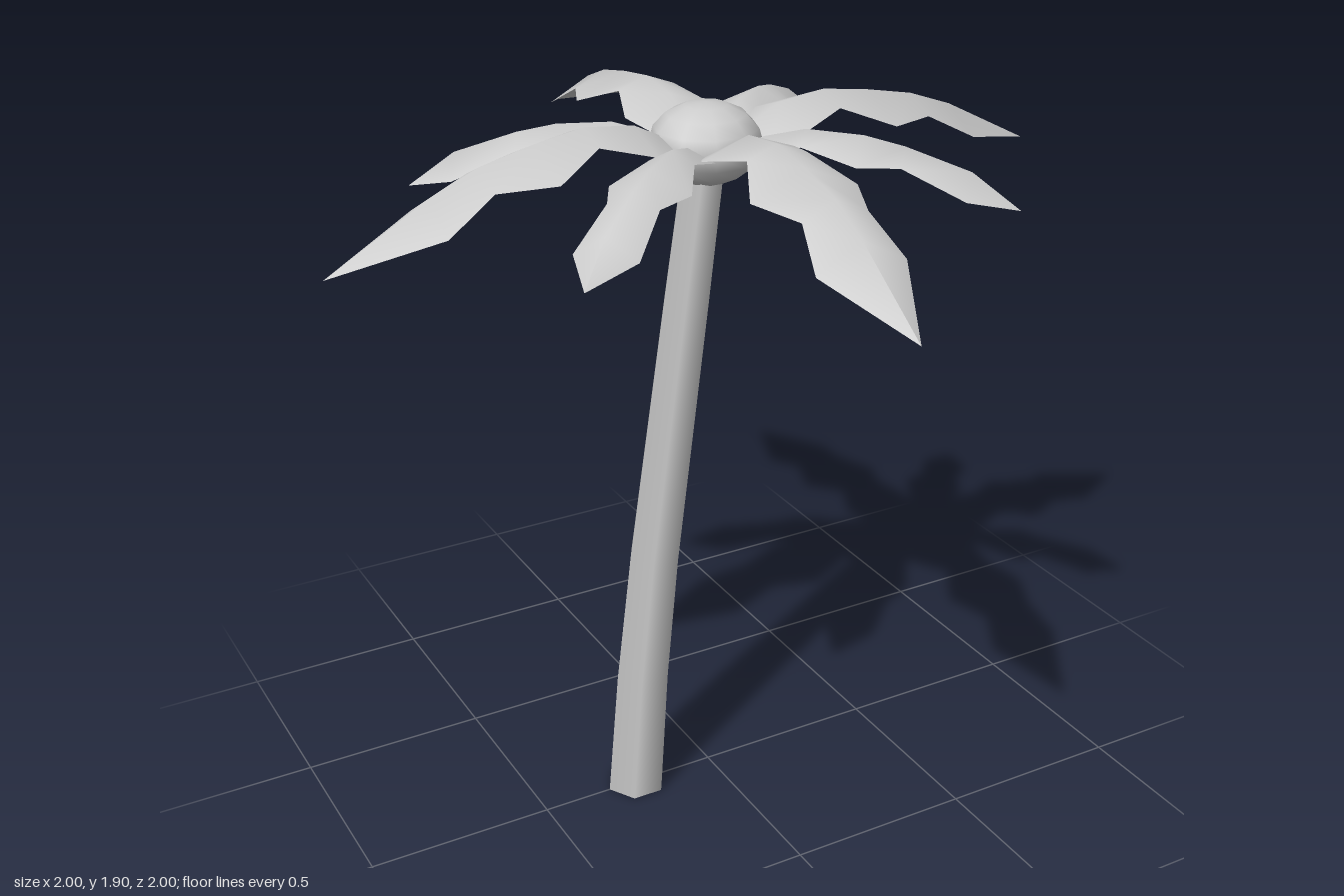
import * as THREE from 'three';

// Leaf sections: [distance out, half width, midrib height, edge drop, sideways bend]
const LONG = [
  [0.04, 0.06, 1.79, 0.02, 0], [0.13, 0.09, 1.835, 0.03, 0], [0.2, 0.125, 1.87, 0.045, 0.003],
  [0.33, 0.078, 1.885, 0.03, 0.005], [0.46, 0.14, 1.865, 0.06, 0.01], [0.6, 0.085, 1.835, 0.04, 0.018],
  [0.735, 0.115, 1.785, 0.06, 0.035], [1, 0, 1.65, 0, 0.062],
];
const SHORT = [
  [0.04, 0.04, 1.78, 0.02, 0], [0.14, 0.07, 1.825, 0.03, 0], [0.24, 0.055, 1.85, 0.03, 0],
  [0.38, 0.1, 1.845, 0.05, 0], [0.48, 0.063, 1.825, 0.035, 0], [0.64, 0.078, 1.775, 0.05, 0],
  [0.76, 0, 1.69, 0, 0],
];

// A folded sheet running outward from the crown, three points per section
function leafGeometry(sections, degrees, bendSign, scale) {
  const a = THREE.MathUtils.degToRad(degrees);
  const fx = Math.cos(a), fz = Math.sin(a);
  const points = [], index = [];
  sections.forEach(([out, half, y, drop, bend], i) => {
    for (const side of [-1, 0, 1]) {
      const u = out * scale, v = side * half + bend * bendSign;
      points.push(fx * u - fz * v, y - Math.abs(side) * drop, fz * u + fx * v);
    }
    if (i === 0) return;
    for (const k of [0, 1]) {
      const p = (i - 1) * 3 + k, q = p + 3;
      index.push(p, p + 1, q);
      index.push(p + 1, q + 1, q);
    }
  });
  const geometry = new THREE.BufferGeometry();
  geometry.setAttribute('position', new THREE.Float32BufferAttribute(points, 3));
  geometry.setIndex(index);
  geometry.computeVertexNormals();
  return geometry;
}

// Six-sided trunk that leans and tapers
function trunkGeometry() {
  const height = 1.76;
  const lean = [-0.228, -0.2, -0.16, -0.11, -0.06, -0.01];
  const radius = [0.082, 0.077, 0.072, 0.068, 0.064, 0.058];
  const rows = lean.length - 1;
  const geometry = new THREE.CylinderGeometry(1, 1, height, 6, rows, false, Math.PI / 2);
  const pos = geometry.attributes.position;
  for (let i = 0; i < pos.count; i++) {
    const row = Math.round((pos.getY(i) / height + 0.5) * rows);
    pos.setXYZ(i, pos.getX(i) * radius[row] + lean[row], (row / rows) * height, pos.getZ(i) * radius[row]);
  }
  return geometry;
}

export function createModel() {
  const model = new THREE.Group();
  const grey = new THREE.MeshStandardMaterial({ color: 0xcccccc, side: THREE.DoubleSide });
  grey.name = 'light grey';

  const add = (name, geometry) => {
    const mesh = new THREE.Mesh(geometry, grey);
    mesh.name = name;
    model.add(mesh);
    return mesh;
  };

  add('trunk', trunkGeometry());

  // Flattened ball where the leaves meet
  const crown = add('crown', new THREE.SphereGeometry(0.14, 10, 8));
  crown.scale.y = 0.72;
  crown.position.set(-0.005, 1.8, 0);

  // Four long leaves, bending alternately to either side
  for (let i = 0; i < 4; i++) {
    add('longLeaf', leafGeometry(LONG, i * 90, i % 2 ? 1 : -1, 1));
  }
  // Four short leaves between them
  for (const [degrees, scale] of [[43.5, 1], [139, 1], [209, 0.96], [320, 0.945]]) {
    add('shortLeaf', leafGeometry(SHORT, degrees, 0, scale));
  }
  return model;
}
